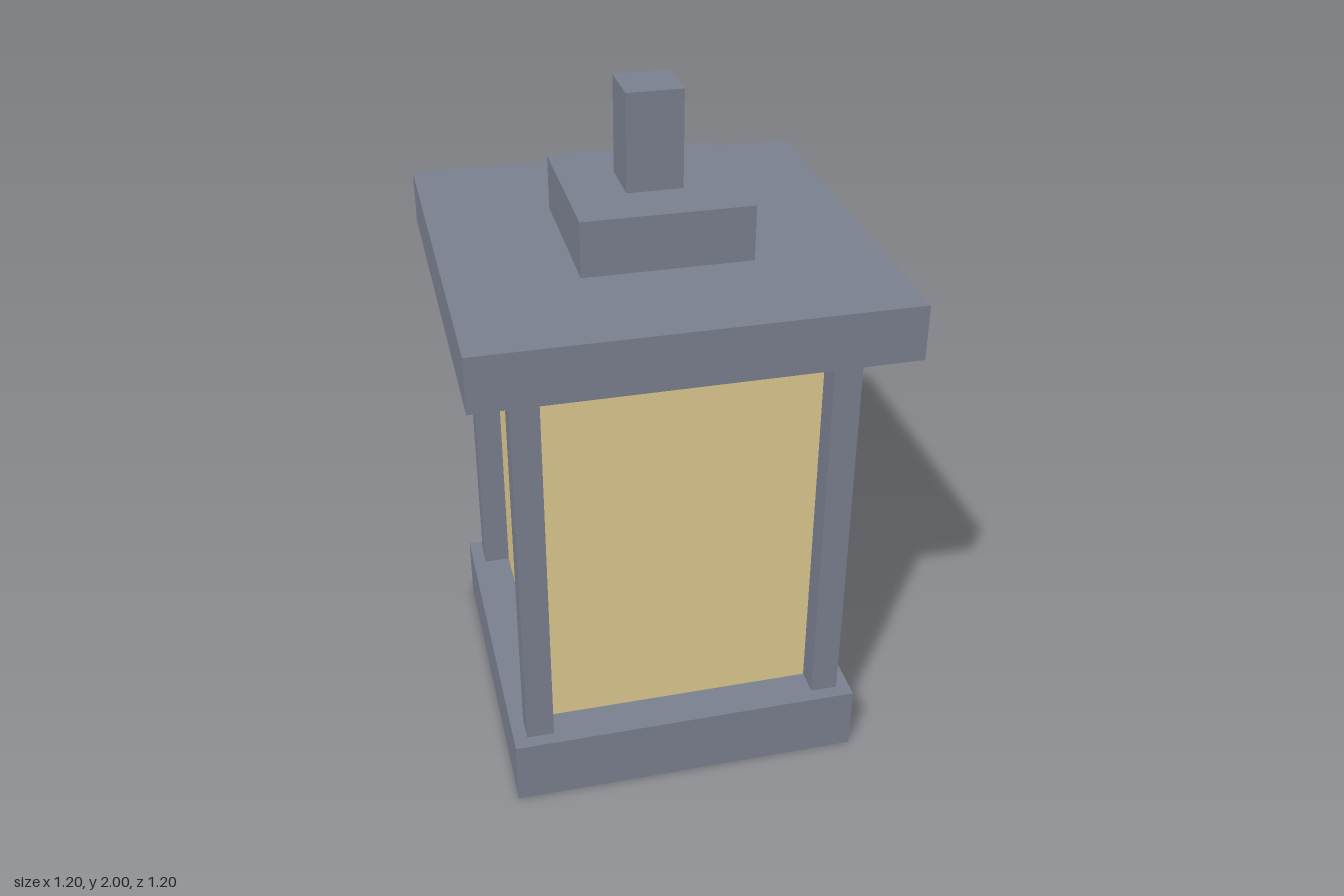
import * as THREE from 'three';

export function createModel() {
  const model = new THREE.Group();
  model.name = 'lantern';

  const frame = new THREE.MeshStandardMaterial({ color: 0x7a7f8f });
  const glass = new THREE.MeshStandardMaterial({ color: 0xdcc78d });

  // Square block of a given width, standing between two heights
  function block(name, width, bottom, top, material, x = 0, z = 0) {
    const mesh = new THREE.Mesh(new THREE.BoxGeometry(width, top - bottom, width), material);
    mesh.name = name;
    mesh.position.set(x, (bottom + top) / 2, z);
    model.add(mesh);
  }

  block('base', 1.04, 0, 0.2, frame);
  block('glassBody', 0.8, 0.2, 1.4, glass);

  // Corner posts
  for (const [sx, sideX] of [[1, 'Left'], [-1, 'Right']]) {
    for (const [sz, sideZ] of [[1, 'front'], [-1, 'back']]) {
      block(`${sideZ}${sideX}Post`, 0.08, 0.2, 1.4, frame, sx * 0.44, sz * 0.44);
    }
  }

  // Stepped roof
  block('roof', 1.2, 1.4, 1.56, frame);
  block('roofCap', 0.48, 1.56, 1.72, frame);
  block('finial', 0.16, 1.72, 2, frame);

  return model;
}
